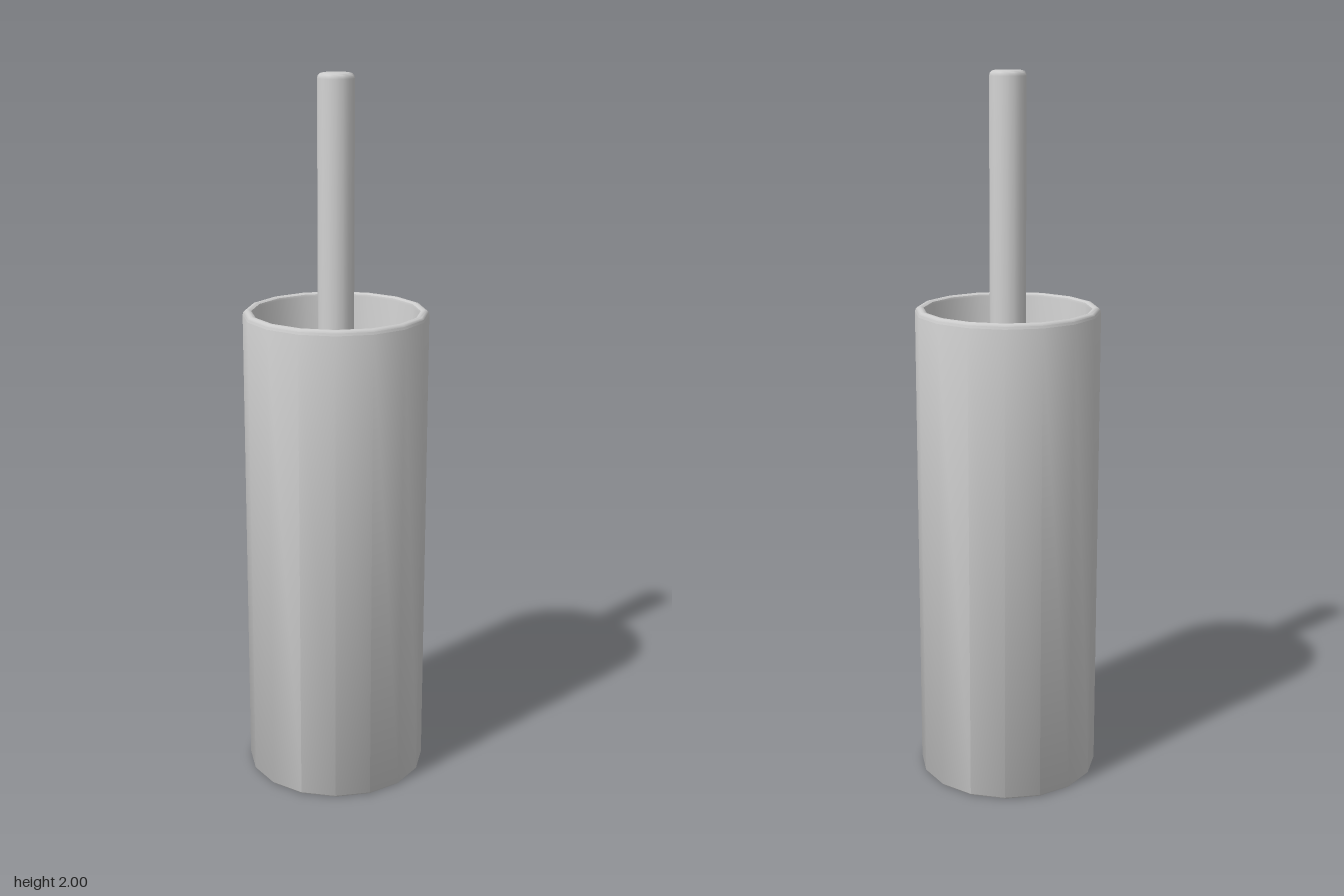
import * as THREE from 'three';
import { toCreasedNormals } from 'three/addons/utils/BufferGeometryUtils.js';

const SIDES = 16;
const material = new THREE.MeshStandardMaterial({ color: 0xcccccc });

// Turn a [radius, height] profile around the y axis, keeping hard corners crisp
function turned(name, profile) {
  const points = profile.map(([r, y]) => new THREE.Vector2(r, y));
  const geometry = toCreasedNormals(new THREE.LatheGeometry(points, SIDES), 0.7);
  const mesh = new THREE.Mesh(geometry, material);
  mesh.name = name;
  return mesh;
}

export function createModel() {
  const group = new THREE.Group();
  group.name = 'brushAndHolder';

  // Hollow holder: base, outer wall, softened rim, inner wall, floor
  group.add(turned('holder', [
    [0, 0], [0.254, 0], [0.257, 0.004],
    [0.257, 1.352], [0.255, 1.359], [0.25, 1.364], [0.244, 1.366],
    [0.238, 1.365], [0.233, 1.362], [0.231, 1.356],
    [0.231, 0.03], [0, 0.03],
  ]));

  // Recessed lid that closes the holder below the rim
  group.add(turned('lid', [
    [0, 1.225], [0.229, 1.225], [0.229, 1.248], [0.227, 1.25], [0, 1.25],
  ]));

  // Low collar where the handle meets the lid
  group.add(turned('collar', [
    [0.06, 1.25], [0.06, 1.262], [0.057, 1.267], [0.05, 1.269],
  ]));

  // Handle with a softened top edge
  group.add(turned('handle', [
    [0, 0.4], [0.05, 0.4], [0.05, 1.985], [0.048, 1.993],
    [0.043, 1.998], [0.035, 2], [0, 2],
  ]));

  // Brush head inside the holder
  group.add(turned('brushHead', [
    [0, 0.1], [0.1, 0.12], [0.16, 0.2], [0.16, 0.45], [0.1, 0.53], [0, 0.55],
  ]));

  return group;
}
